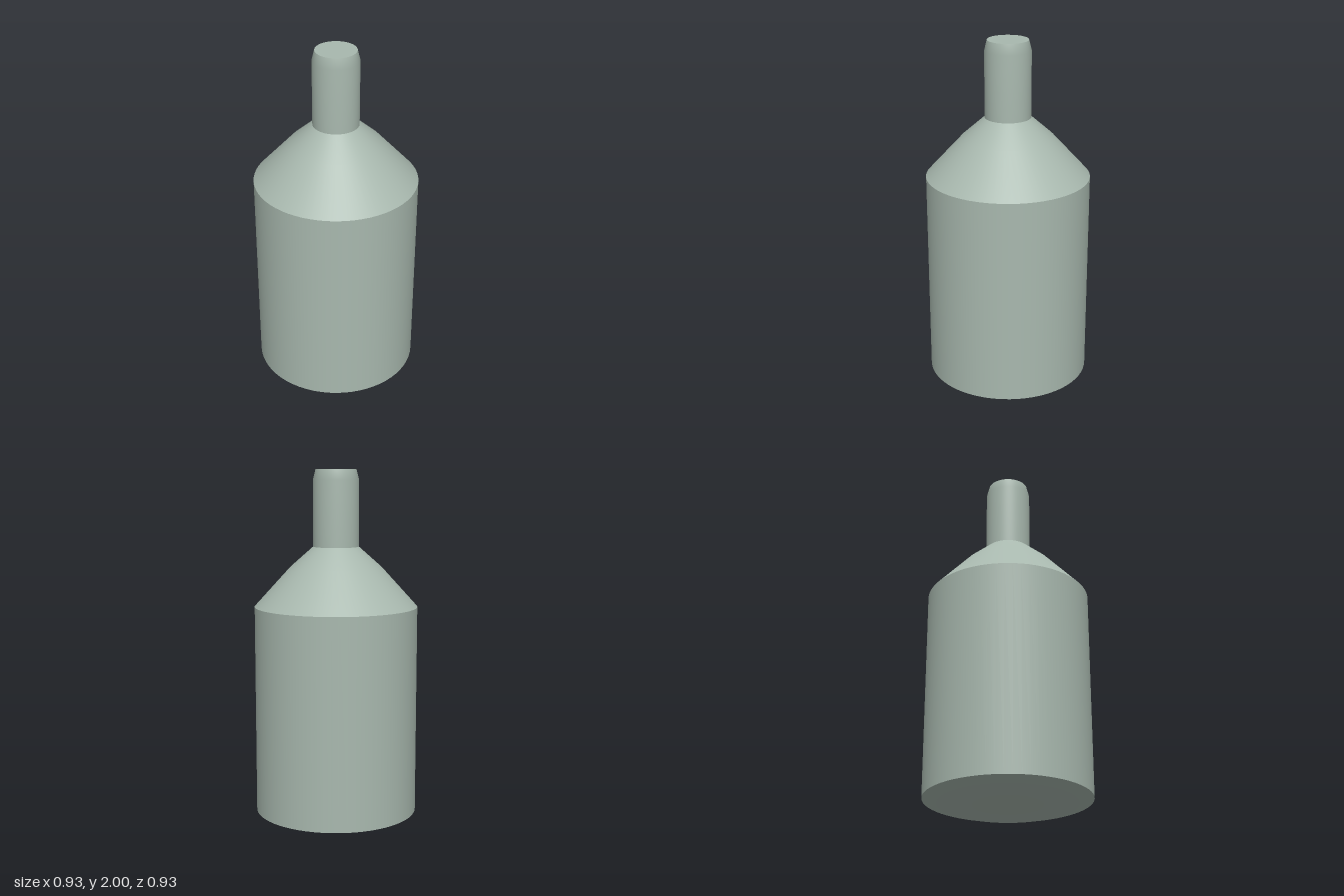
import * as THREE from 'three';

const SEGMENTS = 64;

export function createModel() {
  const group = new THREE.Group();
  group.name = 'bottle';

  const paleGreen = new THREE.MeshStandardMaterial({ color: 0xa8b8ae });
  paleGreen.name = 'pale grey green';

  // Each part is its own lathe, so edges between parts stay sharp.
  // Profiles run [radius, height] from bottom to top, facing outwards.
  const parts = {
    base: [[0, 0], [0.36, 0], [0.465, 0.03]],
    body: [[0.465, 0.03], [0.465, 1.225]],
    shoulder: [[0.465, 1.225], [0.26, 1.45], [0.13, 1.565]],
    neck: [[0.13, 1.565], [0.13, 1.94], [0.115, 2]],
    lid: [[0.115, 2], [0, 2]],
  };

  for (const [name, profile] of Object.entries(parts)) {
    const points = profile.map(([r, y]) => new THREE.Vector2(r, y));
    const mesh = new THREE.Mesh(new THREE.LatheGeometry(points, SEGMENTS), paleGreen);
    mesh.name = name;
    group.add(mesh);
  }

  return group;
}
